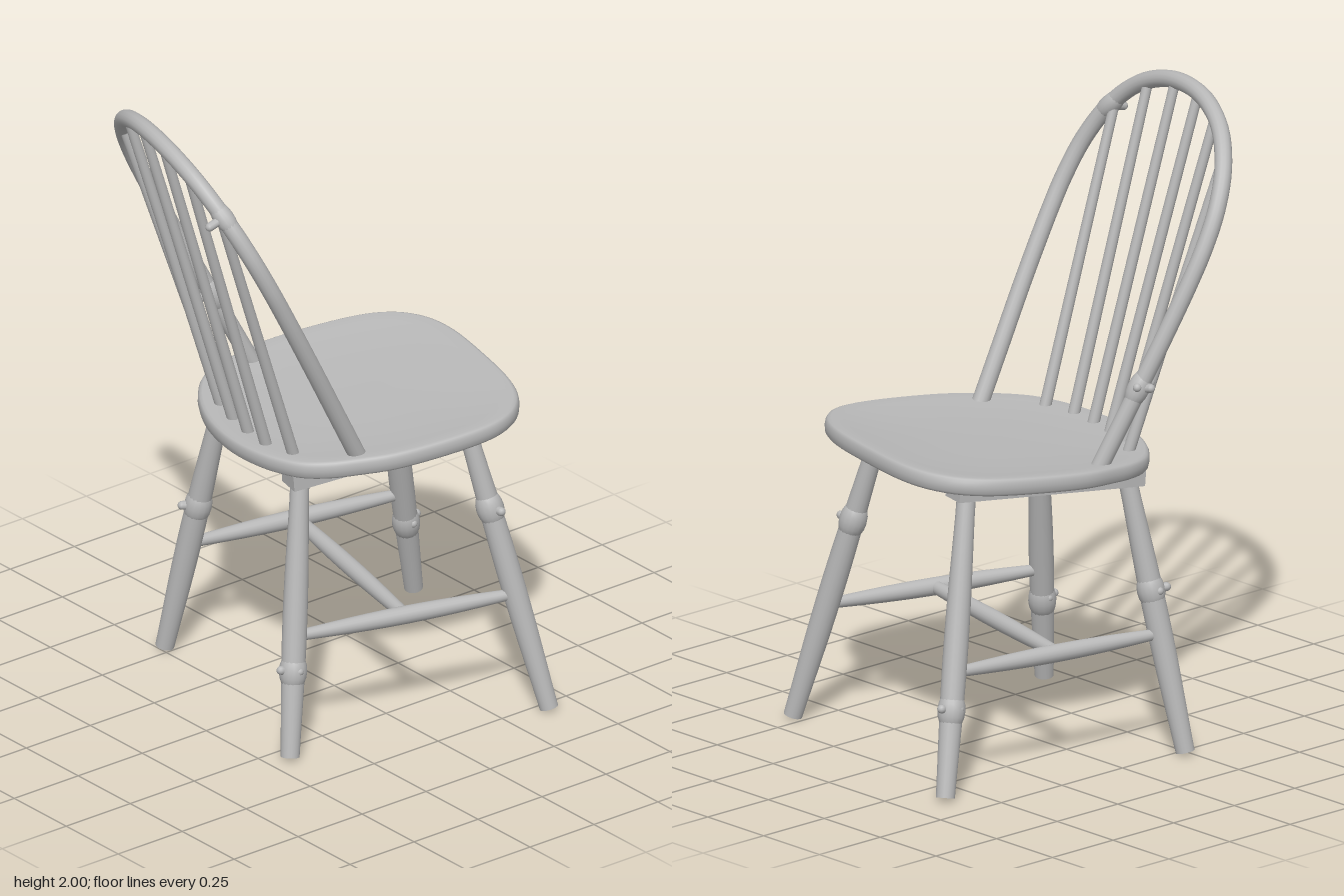
import * as THREE from 'three';

const wood = new THREE.MeshStandardMaterial({ color: 0xb8b8b8 });
wood.name = 'plain grey wood';
const UP = new THREE.Vector3(0, 1, 0);
const V = (x, y, z) => new THREE.Vector3(x, y, z);

function add(parent, name, geometry) {
  const mesh = new THREE.Mesh(geometry, wood);
  mesh.name = name;
  parent.add(mesh);
  return mesh;
}

// Turned rod from a to b; radius(t) gives its thickness along the length
function rod(parent, name, a, b, radius) {
  const dir = b.clone().sub(a);
  const len = dir.length();
  const geo = new THREE.CylinderGeometry(1, 1, len, 18, 12);
  const p = geo.attributes.position;
  for (let i = 0; i < p.count; i++) {
    const r = radius(p.getY(i) / len + 0.5);
    p.setX(i, p.getX(i) * r);
    p.setZ(i, p.getZ(i) * r);
  }
  const mesh = add(parent, name, geo);
  mesh.position.copy(a).add(b).multiplyScalar(0.5);
  mesh.quaternion.setFromUnitVectors(UP, dir.normalize());
  return mesh;
}

// Swelling on a rod with short rounded branch stubs
function knot(parent, name, at, axis, r, stubs) {
  const group = new THREE.Group();
  group.name = name;
  group.position.copy(at);
  parent.add(group);
  const bulge = add(group, 'bulge', new THREE.SphereGeometry(1, 16, 10));
  bulge.scale.set(r * 1.2, 0.065, r * 1.2);
  bulge.quaternion.setFromUnitVectors(UP, axis.clone().normalize());
  for (const [x, y, z, reach] of stubs) {
    const dir = V(x, y, z).normalize();
    const stub = add(group, 'stub', new THREE.CapsuleGeometry(0.014, reach, 4, 10));
    stub.position.copy(dir).multiplyScalar(reach / 2);
    stub.quaternion.setFromUnitVectors(UP, dir);
  }
}

// Rounded plank with a shallow dish, lofted from scaled outline rings
function seatGeometry() {
  const half = [[0.528, 0], [0.52, 0.2], [0.495, 0.3], [0.46, 0.36], [0.42, 0.4], [0.35, 0.435],
    [0.22, 0.455], [0, 0.452], [-0.106, 0.424], [-0.19, 0.395], [-0.265, 0.345], [-0.315, 0.27],
    [-0.345, 0.2], [-0.37, 0.1], [-0.378, 0]];
  const mirrored = half.slice(1, -1).reverse().map(([x, z]) => [x, -z]);
  const outline = new THREE.CatmullRomCurve3([...half, ...mirrored].map(([x, z]) => V(x, 0, z)), true);
  const n = 96;
  const ring = outline.getSpacedPoints(n).slice(0, n);
  const profile = [[0, -0.028], [0.6, -0.028], [0.95, -0.028], [0.98, -0.026], [0.994, -0.018], [1, 0],
    [0.996, 0.016], [0.985, 0.025], [0.965, 0.029], [0.88, 0.025], [0.7, 0.017], [0.4, 0.012], [0, 0.012]];
  const pos = [], index = [];
  profile.forEach(([s, y], i) => ring.forEach((p, j) => {
    pos.push(0.075 + (p.x - 0.075) * s, y, p.z * s);
    if (i === profile.length - 1) return;
    const k = (j + 1) % n, a = i * n, b = a + n;
    index.push(a + j, b + j, a + k, b + j, b + k, a + k);
  }));
  const geo = new THREE.BufferGeometry();
  geo.setAttribute('position', new THREE.Float32BufferAttribute(pos, 3));
  geo.setIndex(index);
  geo.computeVertexNormals();
  return geo;
}

export function createModel() {
  const model = new THREE.Group();
  model.name = 'spindleBackChair';
  // Chair faces its own +x and is turned slightly
  const chair = new THREE.Group();
  chair.name = 'chair';
  chair.rotation.y = -0.227;
  chair.position.set(0.007, 0, -0.029);
  model.add(chair);

  // Seat with two battens beneath, tilted up at the front
  const seat = new THREE.Group();
  seat.name = 'seatAssembly';
  seat.position.y = 0.933;
  seat.rotation.z = 0.077;
  chair.add(seat);
  add(seat, 'seat', seatGeometry());
  for (const s of [1, -1]) {
    add(seat, 'batten', new THREE.BoxGeometry(0.65, 0.05, 0.085)).position.set(0.045, -0.052, s * 0.272);
  }

  // Splayed legs
  const legRadius = t => 0.029 + 0.009 * Math.sin(Math.PI * Math.min(1, t * 1.05)) ** 1.2;
  const legs = {};
  for (const s of [1, -1]) {
    legs['front' + s] = [V(0.511, 0.01, s * 0.467), V(0.328, 0.9, s * 0.276)];
    legs['back' + s] = [V(-0.346, 0.01, s * 0.432), V(-0.234, 0.86, s * 0.272)];
    rod(chair, 'frontLeg', ...legs['front' + s], legRadius);
    rod(chair, 'backLeg', ...legs['back' + s], legRadius);
  }
  const onLeg = (key, y) => {
    const [a, b] = legs[key];
    return a.clone().lerp(b, (y - a.y) / (b.y - a.y));
  };

  // Stretchers in an H
  const sideMiddles = [1, -1].map(s => {
    const a = onLeg('back' + s, 0.375), b = onLeg('front' + s, 0.375);
    rod(chair, 'sideStretcher', a, b, t => 0.016 + 0.012 * Math.sin(Math.PI * t));
    return a.lerp(b, 0.5);
  });
  rod(chair, 'crossStretcher', ...sideMiddles, t => 0.02 + 0.007 * Math.sin(Math.PI * t));

  // Bent bow of the back, lying in a leaning plane
  const leanX = y => -0.09 - (y - 0.95) * 0.5;
  const bowPoint = (w, y) => V(leanX(y), y, w);
  const side = [[0.363, 0.925], [0.385, 1.1], [0.41, 1.3], [0.426, 1.5], [0.426, 1.6], [0.407, 1.71],
    [0.355, 1.815], [0.26, 1.905], [0.135, 1.957]];
  const bow = new THREE.CatmullRomCurve3([
    ...side.map(([w, y]) => bowPoint(w, y)), bowPoint(0, 1.973),
    ...side.slice().reverse().map(([w, y]) => bowPoint(-w, y))]);
  add(chair, 'backBow', new THREE.TubeGeometry(bow, 110, 0.027, 14));

  // Six fanned spindles
  for (const s of [1, -1]) {
    for (const [x, w, topW, topY] of [[-0.296, 0.051, 0.07, 1.965], [-0.286, 0.154, 0.205, 1.93], [-0.242, 0.254, 0.33, 1.845]]) {
      rod(chair, 'spindle', V(x, 0.91, s * w), bowPoint(s * topW, topY), t => 0.0185 - 0.003 * t);
    }
  }

  // Branch knots on the legs and bow
  const legKnots = [
    ['front1', 0.65, [[0.3, 0.1, 1, 0.05], [0.9, -0.5, 0.3, 0.032], [-0.9, 0.7, 0.4, 0.03]]],
    ['front-1', 0.265, [[1, 0.35, -0.3, 0.045], [0.2, 0.2, 1, 0.035], [-0.5, 0.3, -0.9, 0.03]]],
    ['back1', 0.27, [[-1, 0.3, 0.1, 0.045], [0.2, 0.3, 1, 0.032], [-0.1, 0.4, -1, 0.034]]],
    ['back-1', 0.51, [[-1, 0.1, -0.2, 0.05], [-0.3, 0.1, -1, 0.035]]],
  ];
  for (const [key, y, stubs] of legKnots) {
    const [a, b] = legs[key];
    knot(chair, 'legKnot', onLeg(key, y), b.clone().sub(a), 0.036, stubs);
  }
  knot(chair, 'bowKnot', bowPoint(0.345, 1.825), V(-0.4, 0.8, -0.7), 0.026, [[-1, -0.3, 0.2, 0.055]]);
  knot(chair, 'bowKnot', bowPoint(-0.393, 1.18), V(-0.5, 1, -0.1), 0.029,
    [[-1, 0.1, 0.35, 0.055], [-0.5, 0.2, -1, 0.045], [0.6, 0.4, -0.8, 0.03]]);
  return model;
}
